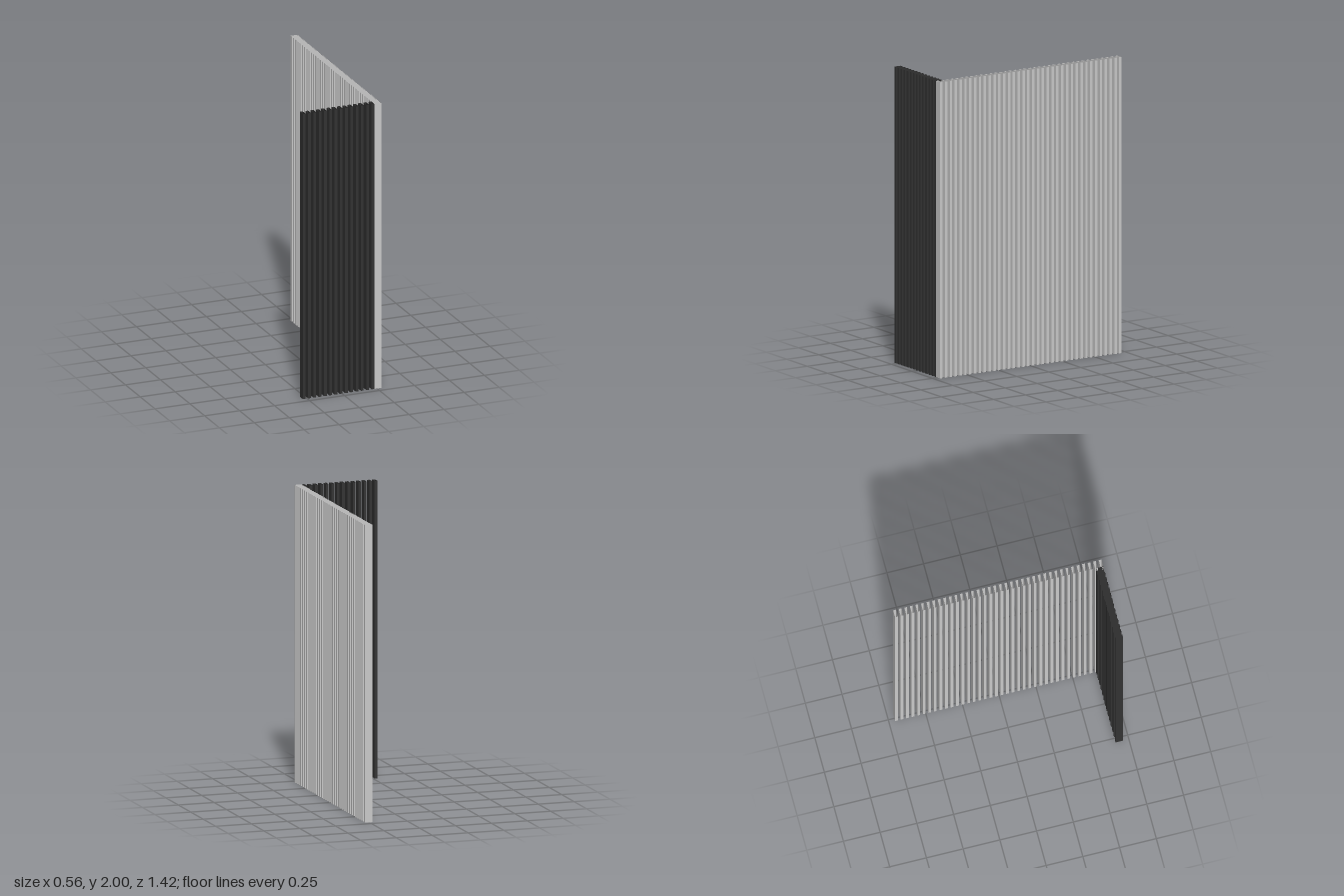
import * as THREE from 'three';

const HEIGHT = 2, THICK = 0.019, DEPTH = 0.05;
const HALF_X = 0.28, HALF_Z = 0.709;

// Upright hollow slat: a box without its top and bottom faces
function slatGeometry(width, depth) {
  const geometry = new THREE.BoxGeometry(width, HEIGHT, depth);
  const index = Array.from(geometry.index.array);
  index.splice(12, 12);
  geometry.setIndex(index);
  geometry.clearGroups();
  return geometry;
}

// Row of evenly spaced slats between two centre points
function slatRow(name, count, geometry, material, from, to) {
  const row = new THREE.Group();
  row.name = name;
  for (let i = 0; i < count; i++) {
    const slat = new THREE.Mesh(geometry, material);
    slat.name = 'slat';
    slat.position.lerpVectors(from, to, i / (count - 1));
    row.add(slat);
  }
  return row;
}

export function createModel() {
  const model = new THREE.Group();
  model.name = 'slattedCornerScreen';
  const light = new THREE.MeshStandardMaterial({ color: 0xcccccc, side: THREE.DoubleSide });
  const dark = new THREE.MeshStandardMaterial({ color: 0x333333, side: THREE.DoubleSide });
  const y = HEIGHT / 2;

  // Long light side running front to back
  const sideX = HALF_X - DEPTH / 2;
  const endZ = HALF_Z - THICK / 2;
  model.add(slatRow('sideSlats', 38, slatGeometry(DEPTH, THICK), light,
    new THREE.Vector3(sideX, y, endZ), new THREE.Vector3(sideX, y, -endZ)));

  // Short dark front, ending against the side row
  const frontZ = HALF_Z - DEPTH / 2;
  model.add(slatRow('frontSlats', 14, slatGeometry(THICK, DEPTH), dark,
    new THREE.Vector3(-HALF_X + THICK / 2, y, frontZ),
    new THREE.Vector3(HALF_X - DEPTH - THICK / 2, y, frontZ)));

  return model;
}
